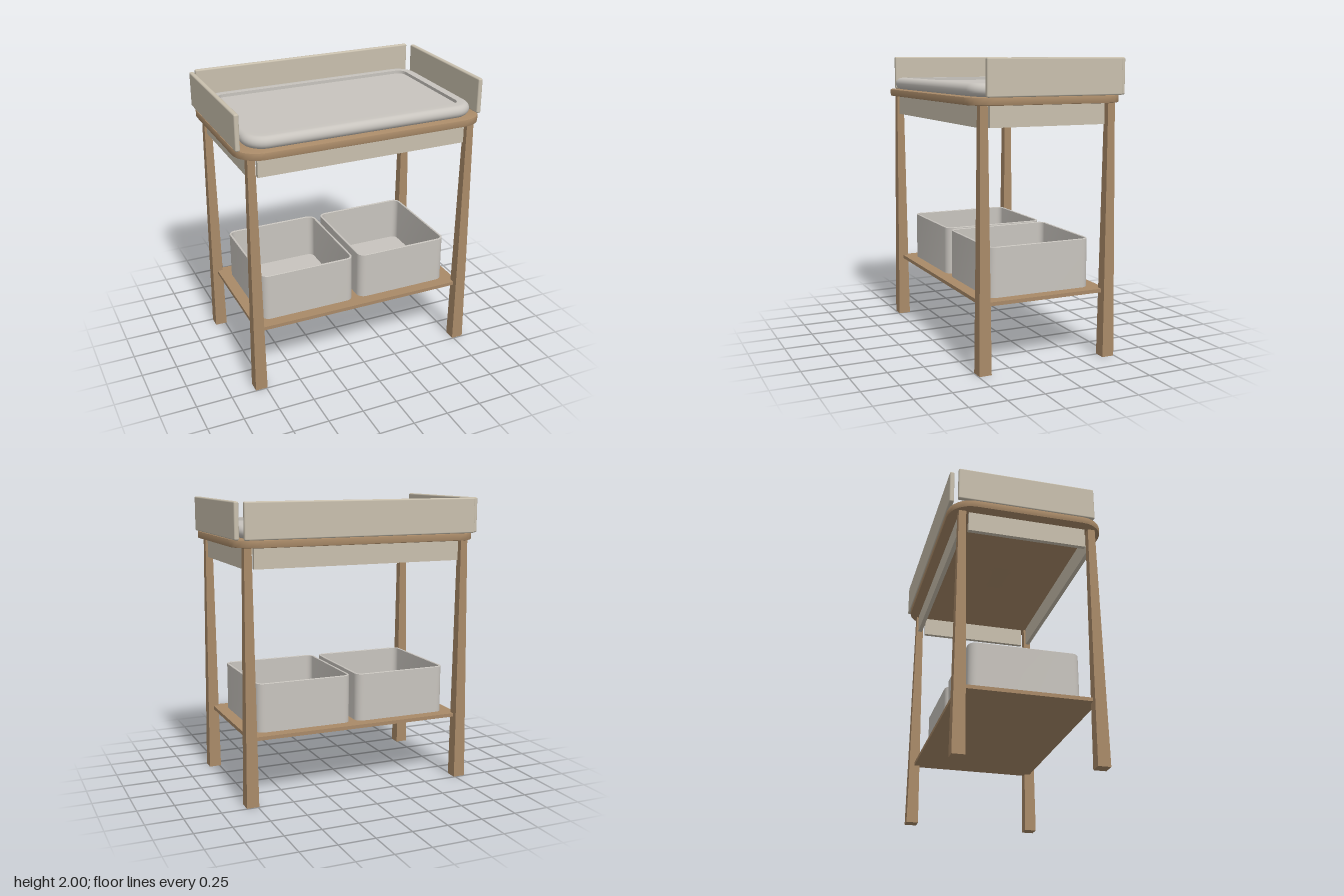
import * as THREE from 'three';
import { toCreasedNormals } from 'three/addons/utils/BufferGeometryUtils.js';
import { RoundedBoxGeometry } from 'three/addons/geometries/RoundedBoxGeometry.js';

const wood = new THREE.MeshStandardMaterial({ color: 0xa98a68 });
const woodFlat = new THREE.MeshStandardMaterial({ color: 0xa98a68, flatShading: true });
const panelPaint = new THREE.MeshStandardMaterial({ color: 0xc9c0ae });
const soft = new THREE.MeshStandardMaterial({ color: 0xc8c4be });

// Outline of a rounded rectangle in the xz plane at height y
function ring(hx, hz, r, y, steps = 8) {
  const pts = [];
  const corners = [[1, 1], [-1, 1], [-1, -1], [1, -1]];
  corners.forEach(([sx, sz], q) => {
    for (let i = 0; i <= steps; i++) {
      const a = (q + i / steps) * Math.PI / 2;
      pts.push(new THREE.Vector3(sx * (hx - r) + r * Math.cos(a), y, sz * (hz - r) + r * Math.sin(a)));
    }
  });
  return pts;
}

// Skin stacked rounded rectangles; profile rows are [inset, y], closed at both ends
function loft(hx, hz, r, profile) {
  const rings = profile.map(([d, y]) => ring(hx - d, hz - d, Math.max(r - d, 0.004), y));
  const n = rings[0].length;
  const pos = [];
  const tri = (a, b, c) => pos.push(...a.toArray(), ...b.toArray(), ...c.toArray());
  const first = new THREE.Vector3(0, profile[0][1], 0);
  const last = new THREE.Vector3(0, profile[profile.length - 1][1], 0);
  for (let i = 0; i < n; i++) {
    const j = (i + 1) % n;
    tri(first, rings[0][i], rings[0][j]);
    tri(rings[rings.length - 1][i], last, rings[rings.length - 1][j]);
    for (let k = 0; k < rings.length - 1; k++) {
      const lo = rings[k], hi = rings[k + 1];
      tri(lo[i], hi[i], lo[j]);
      tri(hi[i], hi[j], lo[j]);
    }
  }
  const geo = new THREE.BufferGeometry();
  geo.setAttribute('position', new THREE.Float32BufferAttribute(pos, 3));
  return toCreasedNormals(geo, 0.6);
}

export function createModel() {
  const model = new THREE.Group();
  model.name = 'changingTable';
  const add = (name, geo, mat, x = 0, y = 0, z = 0) => {
    const mesh = new THREE.Mesh(geo, mat);
    mesh.name = name;
    mesh.position.set(x, y, z);
    model.add(mesh);
    return mesh;
  };

  // Table top with softened edges
  add('tableTop', loft(0.873, 0.54, 0.17, [
    [0.008, 1.71], [0.002, 1.712], [0, 1.718], [0, 1.752], [0.002, 1.758], [0.008, 1.76],
  ]), wood);

  // Tapered square legs
  const legGeo = new THREE.CylinderGeometry(0.025 * Math.SQRT2, 0.0425 * Math.SQRT2, 1.71, 4);
  legGeo.rotateY(Math.PI / 4);
  for (const sx of [-1, 1]) {
    for (const sz of [-1, 1]) {
      add((sz > 0 ? 'front' : 'back') + (sx > 0 ? 'Left' : 'Right') + 'Leg',
        legGeo, woodFlat, sx * 0.783, 0.855, sz * 0.453);
    }
  }

  // Lower shelf
  add('shelf', new THREE.BoxGeometry(1.566, 0.025, 0.906), wood, 0, 0.4525, 0);

  // Aprons under the top and the guard panels above it
  const longApron = new THREE.BoxGeometry(1.48, 0.14, 0.03);
  const sideApron = new THREE.BoxGeometry(0.03, 0.14, 0.815);
  const sidePanel = new RoundedBoxGeometry(0.032, 0.24, 0.955, 3, 0.01);
  for (const s of [-1, 1]) {
    const side = s > 0 ? 'left' : 'right';
    add(s > 0 ? 'frontApron' : 'backApron', longApron, panelPaint, 0, 1.641, s * 0.453);
    add(side + 'Apron', sideApron, panelPaint, s * 0.783, 1.641, 0);
    add(side + 'Panel', sidePanel, panelPaint, s * 0.857, 1.88, -0.018);
  }
  add('backPanel', new RoundedBoxGeometry(1.644, 0.24, 0.032, 3, 0.01), panelPaint, 0, 1.88, -0.53);

  // Changing mat: round outer edge, flat rim, recessed middle
  const matProfile = [];
  for (let i = 0; i <= 12; i++) {
    const a = -Math.PI / 2 + i * Math.PI / 12;
    matProfile.push([0.042 * (1 - Math.cos(a)), 1.802 + 0.042 * Math.sin(a)]);
  }
  matProfile.push([0.085, 1.844], [0.085, 1.822]);
  add('changingMat', loft(0.81, 0.497, 0.145, matProfile), soft, 0, 0, 0.014);

  // Open storage bins on the shelf
  const binGeo = loft(0.34, 0.37, 0.055, [
    [0, 0.465], [0, 0.797], [0.003, 0.8], [0.012, 0.8], [0.015, 0.797], [0.015, 0.48],
  ]);
  add('rightBin', binGeo, soft, -0.364, 0, 0);
  add('leftBin', binGeo, soft, 0.36, 0, 0);

  return model;
}
